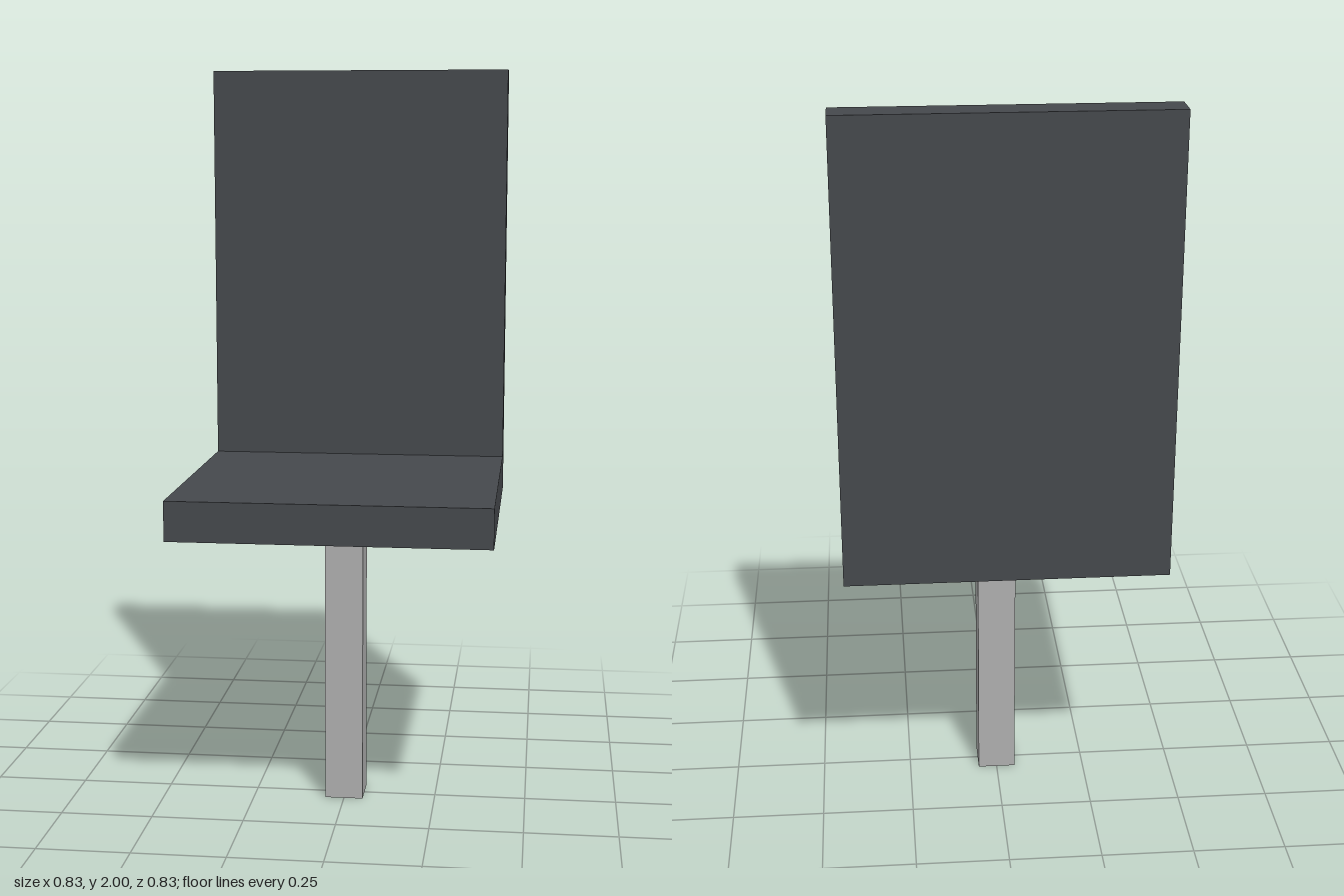
import * as THREE from 'three';

export function createModel() {
  const model = new THREE.Group();
  const upholstery = new THREE.MeshStandardMaterial({ color: 0x45484c });
  upholstery.name = 'dark grey upholstery';
  const metal = new THREE.MeshStandardMaterial({ color: 0xadadad });
  metal.name = 'light grey metal';

  const half = 0.417;      // half of seat width and depth
  const seatBottom = 0.8;
  const seatTop = 0.905;
  const backFront = -0.333;

  // Seat and backrest: one L-shaped side profile (z, y) extruded across the width
  const profile = new THREE.Shape([
    [-half, seatBottom], [half, seatBottom], [half, seatTop],
    [backFront, seatTop], [backFront, 2], [-half, 2],
  ].map(([z, y]) => new THREE.Vector2(z, y)));
  const shell = new THREE.ExtrudeGeometry(profile, { depth: 2 * half, bevelEnabled: false });
  shell.translate(0, 0, -half).rotateY(-Math.PI / 2);
  const seat = new THREE.Mesh(shell, upholstery);
  seat.name = 'seatAndBackrest';
  model.add(seat);

  // Square central post
  const post = new THREE.Mesh(new THREE.BoxGeometry(0.104, seatBottom, 0.104), metal);
  post.name = 'post';
  post.position.y = seatBottom / 2;
  model.add(post);

  return model;
}
